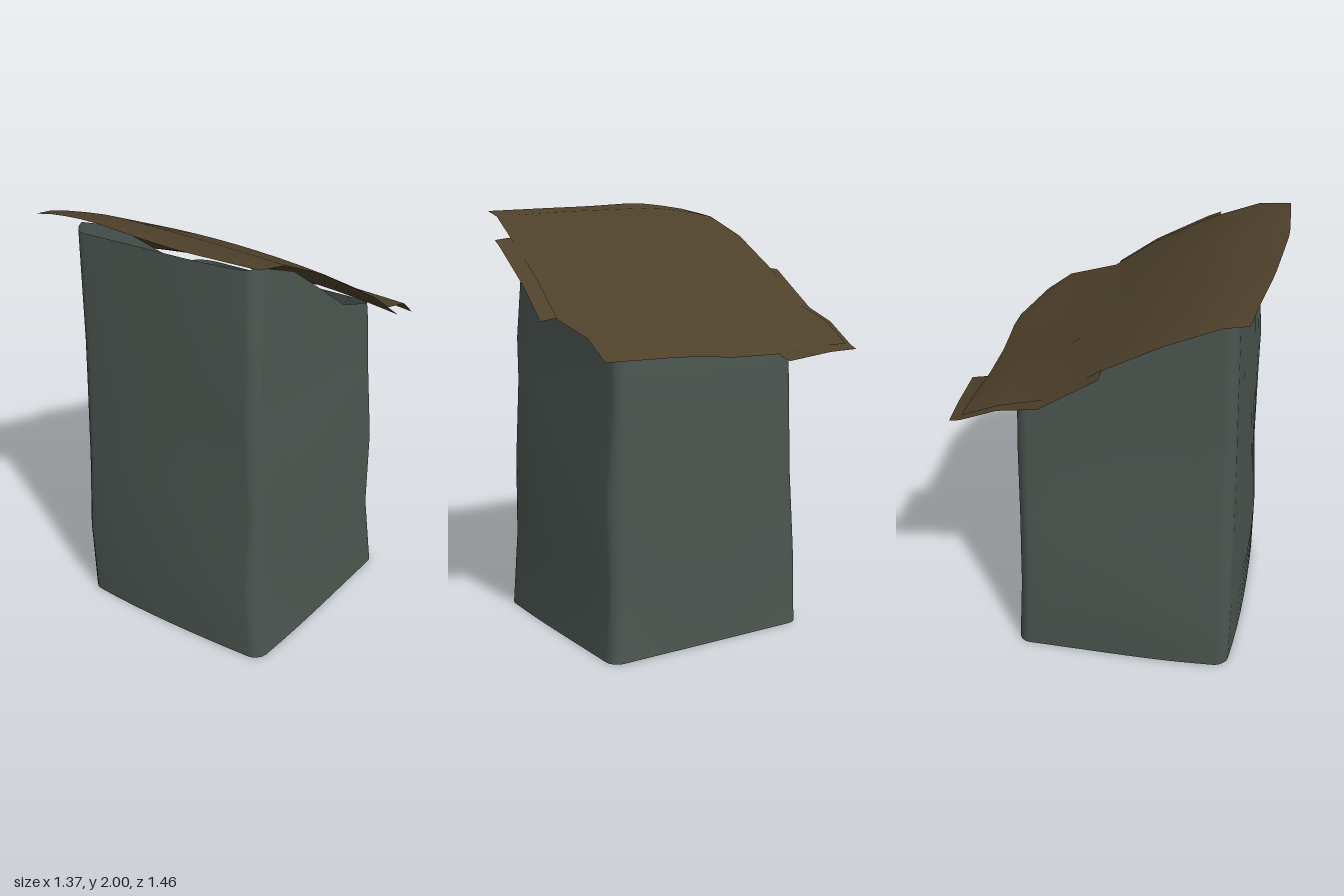
import * as THREE from 'three';

// Piecewise-linear lookup in a list of [position, value] pairs
function lookup(points, x) {
  let i = 0;
  while (i < points.length - 2 && x > points[i + 1][0]) i++;
  const [x0, v0] = points[i], [x1, v1] = points[i + 1];
  return v0 + (v1 - v0) * (x - x0) / (x1 - x0);
}

// Skin a grid of points, given row by row
function gridGeometry(rows, closed = false) {
  const n = rows[0].length, index = [];
  for (let r = 0; r < rows.length - 1; r++) {
    for (let c = 0; c < (closed ? n : n - 1); c++) {
      const a = r * n + c, b = r * n + (c + 1) % n;
      index.push(a, b, a + n, b, b + n, a + n);
    }
  }
  const geometry = new THREE.BufferGeometry();
  geometry.setAttribute('position', new THREE.Float32BufferAttribute(rows.flat(2), 3));
  geometry.setIndex(index);
  geometry.computeVertexNormals();
  return geometry;
}

// Slope of the roof and of the wall tops, by x
const roofLine = [[-0.68, 2.0], [-0.51, 1.98], [-0.26, 1.875], [0, 1.725], [0.2, 1.575], [0.43, 1.49], [0.61, 1.385], [0.68, 1.37]];
const wallLine = [[-0.56, 1.88], [-0.5, 1.905], [-0.28, 1.825], [0.15, 1.52], [0.42, 1.44]];

// Sag of the roof along z, at its high edge and its low edge
const highSag = [[-0.65, 0.055], [-0.52, 0.025], [-0.3, 0], [0, 0.015], [0.57, 0.03]];
const lowSag = [[-0.65, 0.01], [-0.5, 0.01], [-0.25, 0.03], [0, 0.025], [0.25, 0], [0.63, 0.005]];

function roofHeight(x, z) {
  const high = THREE.MathUtils.clamp((-0.26 - x) / 0.42, 0, 1);
  const low = THREE.MathUtils.clamp((x - 0.2) / 0.41, 0, 1);
  const middle = 0.05 * (z / 0.7) ** 2;
  return lookup(roofLine, x) - high * lookup(highSag, z) - low * lookup(lowSag, z) - (1 - high - low) * middle;
}

// Sheet from stations [x, back z, front z, optional outline of x by z]
function roofSheet(stations, drop) {
  return gridGeometry(stations.map(([x, back, front, outline]) => Array.from({ length: 13 }, (_, j) => {
    const z = back + (front - back) * j / 12;
    return [outline ? lookup(outline, z) : x, roofHeight(x, z) - drop, z];
  })));
}

// Rounded rectangle as a loop of [x, z], with points along the sides
function roundedLoop(x0, x1, z0, z1, radius) {
  const centres = [[x1 - radius, z1 - radius], [x1 - radius, z0 + radius], [x0 + radius, z0 + radius], [x0 + radius, z1 - radius]];
  const loop = [];
  centres.forEach(([px, pz], k) => {
    const at = (cx, cz, a) => [cx + Math.cos(a) * radius, cz + Math.sin(a) * radius];
    for (let i = 0; i <= 4; i++) loop.push(at(px, pz, Math.PI / 2 * (1 - k - i / 4)));
    const start = loop[loop.length - 1];
    const end = at(...centres[(k + 1) % 4], -Math.PI / 2 * k);
    for (let i = 1; i < 8; i++) {
      loop.push([start[0] + (end[0] - start[0]) * i / 8, start[1] + (end[1] - start[1]) * i / 8]);
    }
  });
  return loop;
}

// Wall sections: y, min x, max x, min z, max z, then how far each corner is
// drawn in: left front, left back, right back, right front
const sections = [
  [0, -0.6, 0.46, -0.52, 0.54, [0, 0, 0.05, 0.03]],
  [0.36, -0.61, 0.445, -0.54, 0.52, [0.02, 0.025, 0.065, 0.05]],
  [0.75, -0.59, 0.44, -0.51, 0.53, [0.025, 0.02, 0.035, 0.055]],
  [1.15, -0.575, 0.435, -0.495, 0.49, [0.01, 0.015, 0.015, 0.015]],
  [1.36, -0.57, 0.425, -0.495, 0.485, [0.01, 0.015, 0.015, 0]],
  [null, -0.55, 0.415, -0.49, 0.48, [0.01, 0.015, -0.015, 0.05]],
];

// The corners are drawn in, so that each wall bows out between them
function wallRow([y, x0, x1, z0, z1, insets]) {
  const cx = (x0 + x1) / 2, cz = (z0 + z1) / 2;
  return roundedLoop(x0, x1, z0, z1, 0.06).map(([x, z]) => {
    const u = (x - cx) / (x1 - cx), v = (z - cz) / (z1 - cz);
    const inset = insets[u > 0 ? (v > 0 ? 0 : 1) : (v > 0 ? 3 : 2)];
    const shift = inset / 2 * Math.min(Math.abs(u), Math.abs(v)) ** 2;
    const px = x - Math.sign(u) * shift;
    return [px, y ?? lookup(wallLine, px), z - Math.sign(v) * shift];
  });
}

export function createModel() {
  const group = new THREE.Group();
  const wallMaterial = new THREE.MeshStandardMaterial({ color: 0x4c5651, side: THREE.DoubleSide });
  wallMaterial.name = 'grey green walls';
  const roofMaterial = new THREE.MeshStandardMaterial({ color: 0x4e412b, side: THREE.DoubleSide });
  roofMaterial.name = 'brown roof';

  const add = (name, geometry, material) => {
    const mesh = new THREE.Mesh(geometry, material);
    mesh.name = name;
    group.add(mesh);
  };

  // Open tube of four walls
  add('walls', gridGeometry(sections.map(wallRow), true), wallMaterial);

  // Main roof sheet with bent outer edges
  const highEdge = [[-0.655, -0.615], [-0.3, -0.67], [0.2, -0.69], [0.56, -0.66]];
  const lowEdge = [[-0.64, 0.61], [0, 0.605], [0.27, 0.615], [0.62, 0.55]];
  add('mainRoofSheet', roofSheet([
    [-0.68, -0.655, 0.56, highEdge], [-0.51, -0.665, 0.585], [-0.28, -0.685, 0.62], [0, -0.68, 0.64],
    [0.2, -0.68, 0.655], [0.43, -0.67, 0.635], [0.61, -0.64, 0.62, lowEdge],
  ], 0), roofMaterial);

  // Under sheets that stick out past the main one
  add('backRoofPatch', roofSheet([
    [-0.02, -0.73, -0.25], [0.24, -0.73, -0.25], [0.43, -0.7, -0.25], [0.61, -0.67, -0.25],
    [0.68, -0.66, -0.25, [[-0.66, 0.66], [-0.25, 0.685]]],
  ], 0.006), roofMaterial);
  add('frontRoofPatch', roofSheet([
    [-0.32, 0.1, 0.69], [-0.26, 0.1, 0.695], [0, 0.1, 0.715], [0.19, 0.1, 0.73],
  ], 0.006), roofMaterial);

  return group;
}
